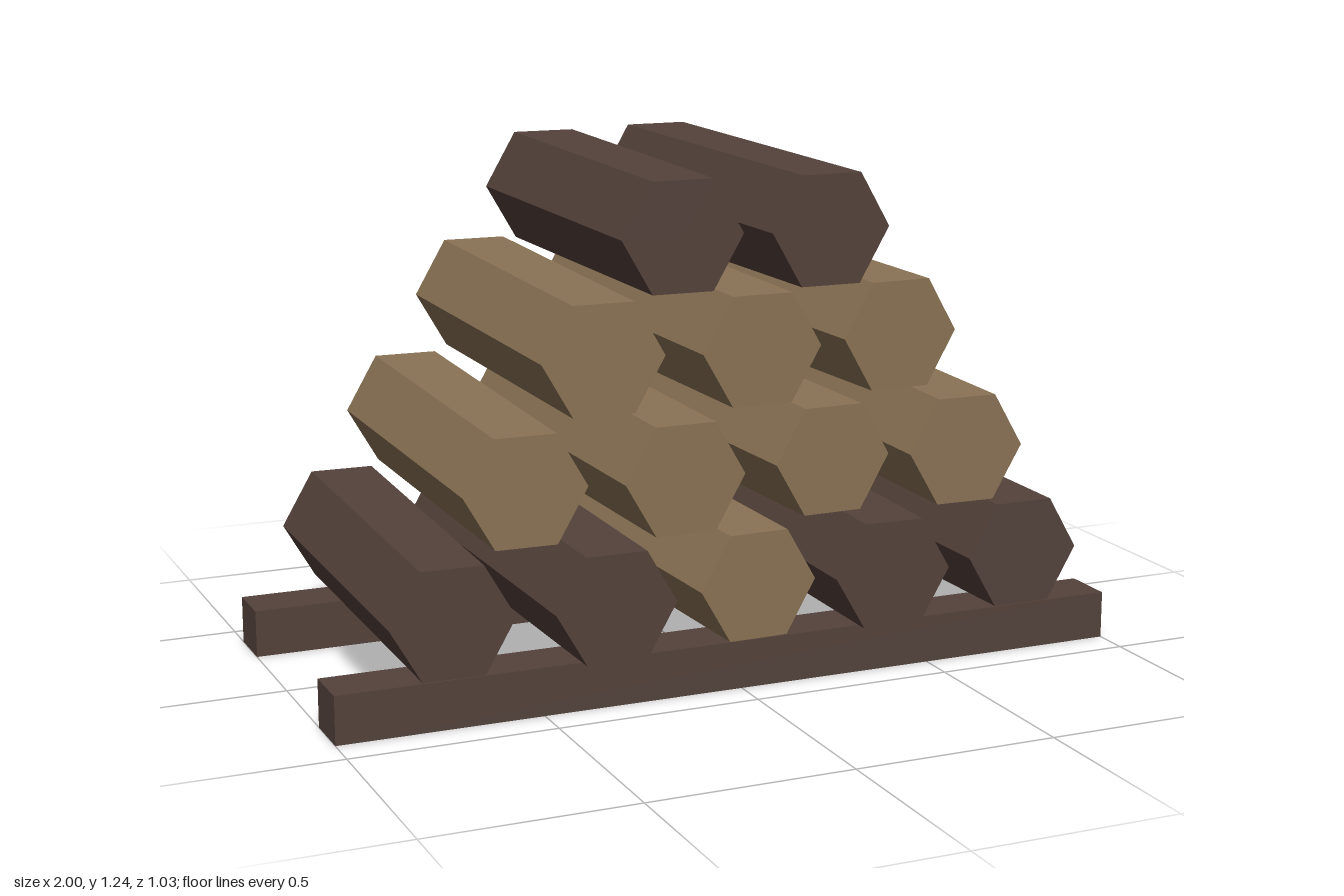
import * as THREE from 'three';

export function createModel() {
  const group = new THREE.Group();
  group.name = 'logPile';

  const bark = new THREE.MeshStandardMaterial({ color: 0x54423b, flatShading: true });
  bark.name = 'dark bark';
  const wood = new THREE.MeshStandardMaterial({ color: 0x8b7355, flatShading: true });
  wood.name = 'pale wood';

  // Two rails under the pile
  for (const side of [1, -1]) {
    const rail = new THREE.Mesh(new THREE.BoxGeometry(2, 0.117, 0.133), bark);
    rail.name = side > 0 ? 'frontRail' : 'backRail';
    rail.position.set(0, 0.0585, side * 0.344);
    group.add(rail);
  }

  // Six-sided log along z, slightly thicker at the back, flat side up
  const logGeometry = (length) => new THREE.CylinderGeometry(0.148, 0.156, length, 6)
    .rotateY(Math.PI / 2)
    .rotateX(Math.PI / 2);
  const shortLog = logGeometry(0.95);
  const longLog = logGeometry(1.025);

  // Rows from the bottom up: each log is [centre x, yaw, material]
  const t = 0.026;
  const rows = [
    { y: 0.27, logs: [[-0.727, -t, bark], [-0.36, 0, bark], [0, t, wood], [0.361, -t, bark], [0.724, 0, bark]] },
    { y: 0.555, logs: [[-0.551, -t, wood], [-0.19, 0, wood], [0.19, t, wood], [0.551, -t, wood]] },
    { y: 0.84, logs: [[-0.362, -t, wood], [0, 0, wood], [0.362, t, wood]] },
    { y: 1.106, logs: [[-0.169, -t, bark], [0.171, 0, bark]] },
  ];
  rows.forEach(({ y, logs }, r) => {
    const row = new THREE.Group();
    row.name = `logRow${r + 1}`;
    row.position.y = y;
    logs.forEach(([x, yaw, material], i) => {
      // Short and long logs alternate
      const log = new THREE.Mesh(i % 2 ? longLog : shortLog, material);
      log.name = `log${i + 1}`;
      log.position.x = x;
      log.rotation.y = yaw;
      row.add(log);
    });
    group.add(row);
  });

  return group;
}
